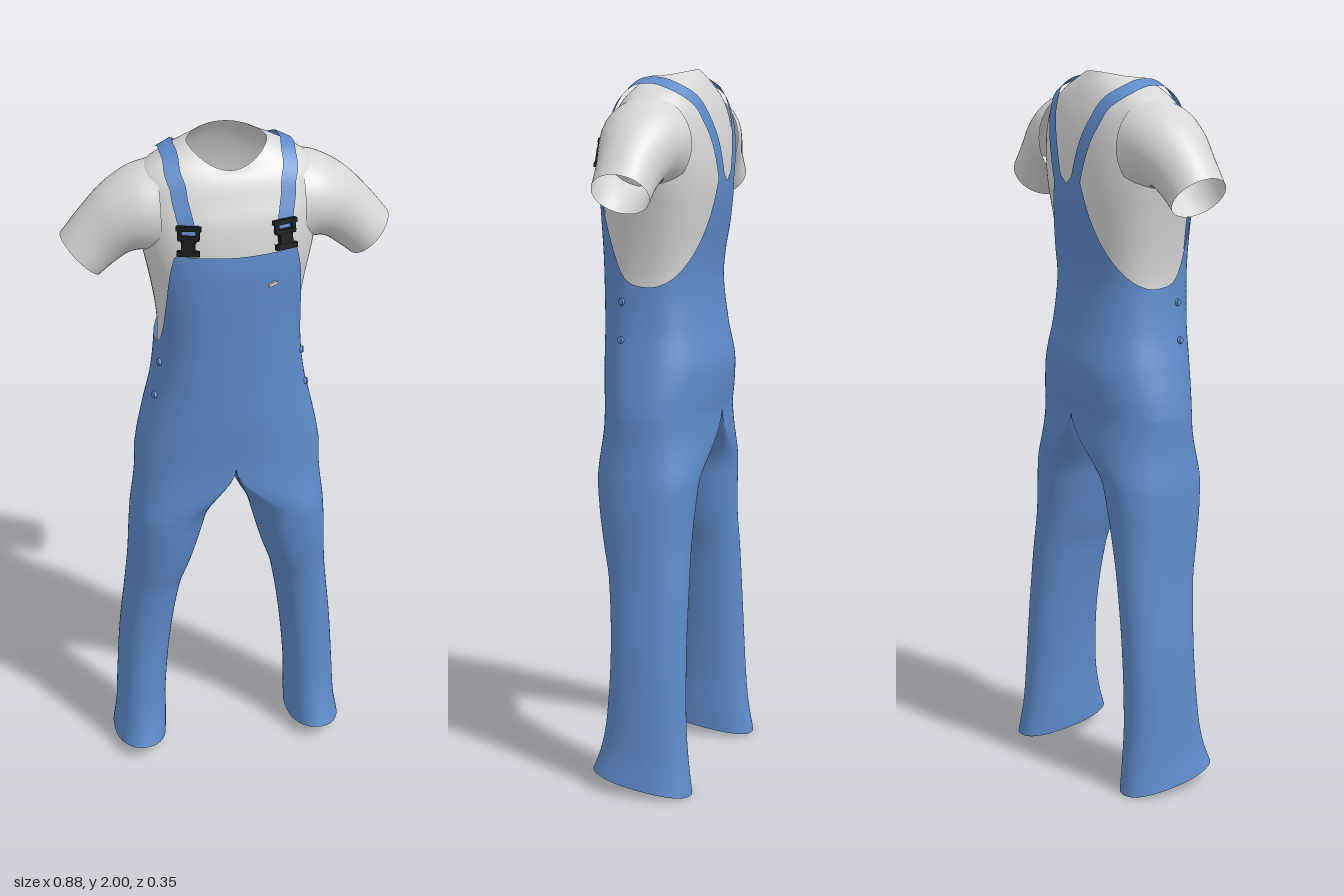
import * as THREE from 'three';
import { mergeGeometries, mergeVertices } from 'three/addons/utils/BufferGeometryUtils.js';

const DEG = Math.PI / 180, N = 96;
const V = (x, y, z) => new THREE.Vector3(x, y, z);
const spow = (s, e) => Math.sign(s) * Math.pow(Math.abs(s), e);

// Smooth lookup in a table whose first column rises; returns the other columns
function sample(table, t) {
  const last = table.length - 1;
  t = Math.min(Math.max(t, table[0][0]), table[last][0]);
  let i = 0;
  while (i < last - 1 && t > table[i + 1][0]) i++;
  const p = table[i], q = table[i + 1], o = table[Math.max(i - 1, 0)], r = table[Math.min(i + 2, last)];
  const h = q[0] - p[0], u = (t - p[0]) / h;
  return p.slice(1).map((_, k) => {
    const c = k + 1;
    const m0 = (q[c] - o[c]) / (q[0] - o[0]) * h, m1 = (r[c] - p[c]) / (r[0] - p[0]) * h;
    const u2 = u * u, u3 = u2 * u;
    return p[c] * (2 * u3 - 3 * u2 + 1) + m0 * (u3 - 2 * u2 + u) + q[c] * (3 * u2 - 2 * u3) + m1 * (u3 - u2);
  });
}

// Grid of points f(u, v), u across and v along, both 0..1
function surface(f, nu, nv, closed) {
  const pos = [], idx = [], w = closed ? nu : nu + 1;
  for (let j = 0; j <= nv; j++)
    for (let i = 0; i < w; i++) pos.push(...f(i / nu, j / nv).toArray());
  for (let j = 0; j < nv; j++)
    for (let i = 0; i < nu; i++) {
      const a = j * w + i, b = j * w + (i + 1) % w;
      idx.push(a, b, b + w, a, b + w, a + w);
    }
  const g = new THREE.BufferGeometry();
  g.setAttribute('position', new THREE.Float32BufferAttribute(pos, 3));
  g.setIndex(idx);
  g.computeVertexNormals();
  return g;
}
// Same surface on either side of the body
const sided = (f, s) => (u, v) => {
  const p = f(s > 0 ? u : 1 - u, v);
  p.x *= s;
  return p;
};

// Torso: height, half width, front depth, back depth, front dip, back rise, roundness
const TORSO = [
  [1.06, 0.254, 0.142, 0.152, 0, 0, 0.85], [1.12, 0.244, 0.145, 0.16, 0, 0, 0.85],
  [1.2, 0.226, 0.15, 0.164, 0, 0, 0.85], [1.3, 0.203, 0.152, 0.145, 0, 0, 0.83],
  [1.42, 0.19, 0.155, 0.13, 0, 0, 0.8], [1.5, 0.193, 0.157, 0.136, 0, 0, 0.8],
  [1.6, 0.208, 0.16, 0.152, 0, 0, 0.8], [1.7, 0.228, 0.16, 0.163, 0, 0, 0.8],
  [1.8, 0.243, 0.145, 0.16, 0, 0, 0.82], [1.87, 0.245, 0.122, 0.148, -0.01, 0, 0.86],
  [1.92, 0.225, 0.105, 0.13, -0.02, 0.003, 0.9], [1.96, 0.165, 0.09, 0.108, -0.038, 0.008, 0.95],
  [1.985, 0.105, 0.075, 0.085, -0.055, 0.015, 1],
];
function torso(a, v, off = 0) {
  const [hw, zf, zb, dip, rise, e] = sample(TORSO, v);
  const s = Math.sin(a), c = Math.cos(a);
  return V((hw + off) * spow(s, e), v + (c > 0 ? dip : rise) * c * c, ((c > 0 ? zf : zb) + off) * spow(c, e));
}
function torsoNormal(a, v) {
  const d = 0.004;
  const da = torso(a + d, v).sub(torso(a - d, v)), dv = torso(a, v + d).sub(torso(a, v - d));
  return da.cross(dv).normalize();
}

// Upper edge of the overalls by angle from the front, in degrees
const EDGE = [[0, 1.725], [28, 1.73], [37, 1.728], [43, 1.68], [58, 1.55], [73, 1.45], [90, 1.42], [110, 1.43],
  [130, 1.465], [149, 1.53], [162, 1.62], [170, 1.72], [174, 1.73], [180, 1.7]];
const CLOTH = 0.01, CROTCH = 1.06;

// Leg: height, inner x, outer x, front depth, back depth
const LEG = [
  [0.005, 0.193, 0.35, 0.12, 0.17], [0.1, 0.19, 0.338, 0.097, 0.156], [0.2, 0.188, 0.333, 0.082, 0.148],
  [0.4, 0.17, 0.32, 0.075, 0.142], [0.6, 0.138, 0.298, 0.09, 0.14], [0.7, 0.106, 0.29, 0.112, 0.138],
  [0.8, 0.078, 0.285, 0.13, 0.142], [0.95, 0.038, 0.273, 0.147, 0.153], [1.06, 0, 0.264, 0.152, 0.162],
];
function leg(u, t) {
  const a = u * 2 * Math.PI, y0 = 0.005 + (CROTCH - 0.005) * t;
  const [xi, xo, zf, zb] = sample(LEG, y0);
  const s = Math.sin(a), c = Math.cos(a);
  const hem = 0.025 * (1 + c) * Math.pow(1 - t, 8);
  const mid = (zf - zb) / 2;
  const p = V((xi + xo) / 2 + (xo - xi) / 2 * spow(s, 0.9), y0 + hem, mid + (zf + zb) / 2 * spow(c, 0.9));
  // near the crotch the section becomes half of the hip section
  const d = torso(a, CROTCH, CLOTH);
  d.x = Math.max(d.x, 0);
  d.y = y0;
  return p.lerp(d, THREE.MathUtils.smoothstep(y0, 0.86, CROTCH));
}

// Sleeve rings: step, top x, top y, bottom x, bottom y, half depth
const SLEEVE = [
  [0, 0.19, 1.935, 0.19, 1.68, 0.125], [1, 0.255, 1.917, 0.225, 1.695, 0.118], [2, 0.325, 1.873, 0.262, 1.69, 0.102],
  [3, 0.386, 1.81, 0.3, 1.663, 0.086], [4, 0.442, 1.74, 0.34, 1.63, 0.08],
];
function sleeve(u, t) {
  const [tx, ty, bx, by, d] = sample(SLEEVE, t * 4);
  const a = u * 2 * Math.PI, c = Math.cos(a) / 2;
  return V((tx + bx) / 2 + (tx - bx) * c, (ty + by) / 2 + (ty - by) * c, -0.014 + d * Math.sin(a));
}

// Strap path over the shoulder: step, angle, height
const STRAP = [[0, 26, 1.765], [1, 27, 1.81], [2, 31, 1.87], [3, 38, 1.92], [4, 62, 1.957], [5, 90, 1.965],
  [6, 116, 1.957], [7, 148, 1.92], [8, 159, 1.87], [9, 167, 1.8], [10, 174, 1.69]];
function strap(u, t) {
  const at = k => {
    const [a, v] = sample(STRAP, k);
    return { p: torso(a * DEG, v), n: torsoNormal(a * DEG, v) };
  };
  const k = t * 10, { p, n } = at(k);
  const dir = at(k + 0.05).p.sub(at(k - 0.05).p).normalize();
  return p.addScaledVector(n, 0.01).addScaledVector(dir.cross(n).normalize(), (u - 0.5) * 0.042);
}

export function createModel() {
  const group = new THREE.Group();
  const mat = (name, color, side = THREE.DoubleSide) => {
    const m = new THREE.MeshStandardMaterial({ color, side });
    m.name = name;
    return m;
  };
  const denim = mat('denim blue', 0x5f8bca), cotton = mat('shirt grey', 0xd6d6d6), plastic = mat('buckle black', 0x181a1c);
  const add = (name, geo, m, parent = group) => {
    const mesh = new THREE.Mesh(geo, m);
    mesh.name = name;
    parent.add(mesh);
    return mesh;
  };
  // Group sitting on the torso surface and facing outwards
  const onTorso = (name, s, deg, v, off) => {
    const g = new THREE.Group(), n = torsoNormal(deg * DEG, v);
    const p = torso(deg * DEG, v).addScaledVector(n, off), q = p.clone().add(n);
    p.x *= s;
    q.x *= s;
    g.position.copy(p);
    g.lookAt(q);
    g.name = name;
    group.add(g);
    return g;
  };

  // Shirt
  add('shirtBody', surface((u, t) => torso(u * 2 * Math.PI, 1.38 + 0.605 * t), N, 44, true), cotton);

  // Overalls: bib and hips joined with both legs
  const upper = (u, t) => {
    const a = u * 2 * Math.PI, deg = 180 - Math.abs(180 - u * 360);
    return torso(a, CROTCH + (sample(EDGE, deg)[0] - CROTCH) * t, CLOTH);
  };
  const parts = [surface(upper, N, 36, true), ...[1, -1].map(s => surface(sided(leg, s), N, 44, true))];
  parts.forEach(g => g.deleteAttribute('normal'));
  const overalls = mergeVertices(mergeGeometries(parts), 1e-4);
  overalls.computeVertexNormals();
  add('overalls', overalls, denim);

  // Light slit on the bib
  add('bibSlit', new THREE.BoxGeometry(0.024, 0.009, 0.006), cotton, onTorso('bibMark', 1, 20, 1.64, 0.012)).rotation.z = 0.3;

  for (const s of [1, -1]) {
    const side = s > 0 ? 'left' : 'right';
    add(side + 'Sleeve', surface(sided(sleeve, s), 48, 24, true), cotton);
    add(side + 'Strap', surface(sided(strap, s), 4, 70, false), denim);

    // Buckle: two cross bars, a waisted clip and prongs
    const b = onTorso(side + 'Buckle', s, 26, 1.775, 0.016);
    const box = (name, w, h, d, x, y, z) => add(name, new THREE.BoxGeometry(w, h, d), plastic, b).position.set(x, y, z);
    box('topBar', 0.066, 0.012, 0.014, 0, 0.032, 0);
    box('middleBar', 0.056, 0.012, 0.014, 0, 0.006, 0);
    box('clipBody', 0.036, 0.03, 0.016, 0, -0.014, 0);
    box('bottomBar', 0.06, 0.014, 0.014, 0, -0.034, 0.002);
    for (const e of [1, -1]) box('prong', 0.01, 0.03, 0.012, e * 0.024, 0.019, 0);

    // Side buttons at the waist
    for (const v of [1.375, 1.27]) {
      const k = onTorso(side + 'Button', s, 72, v, 0.012);
      add('button', new THREE.CylinderGeometry(0.009, 0.011, 0.01, 12), denim, k).rotation.x = Math.PI / 2;
    }
  }
  return group;
}
